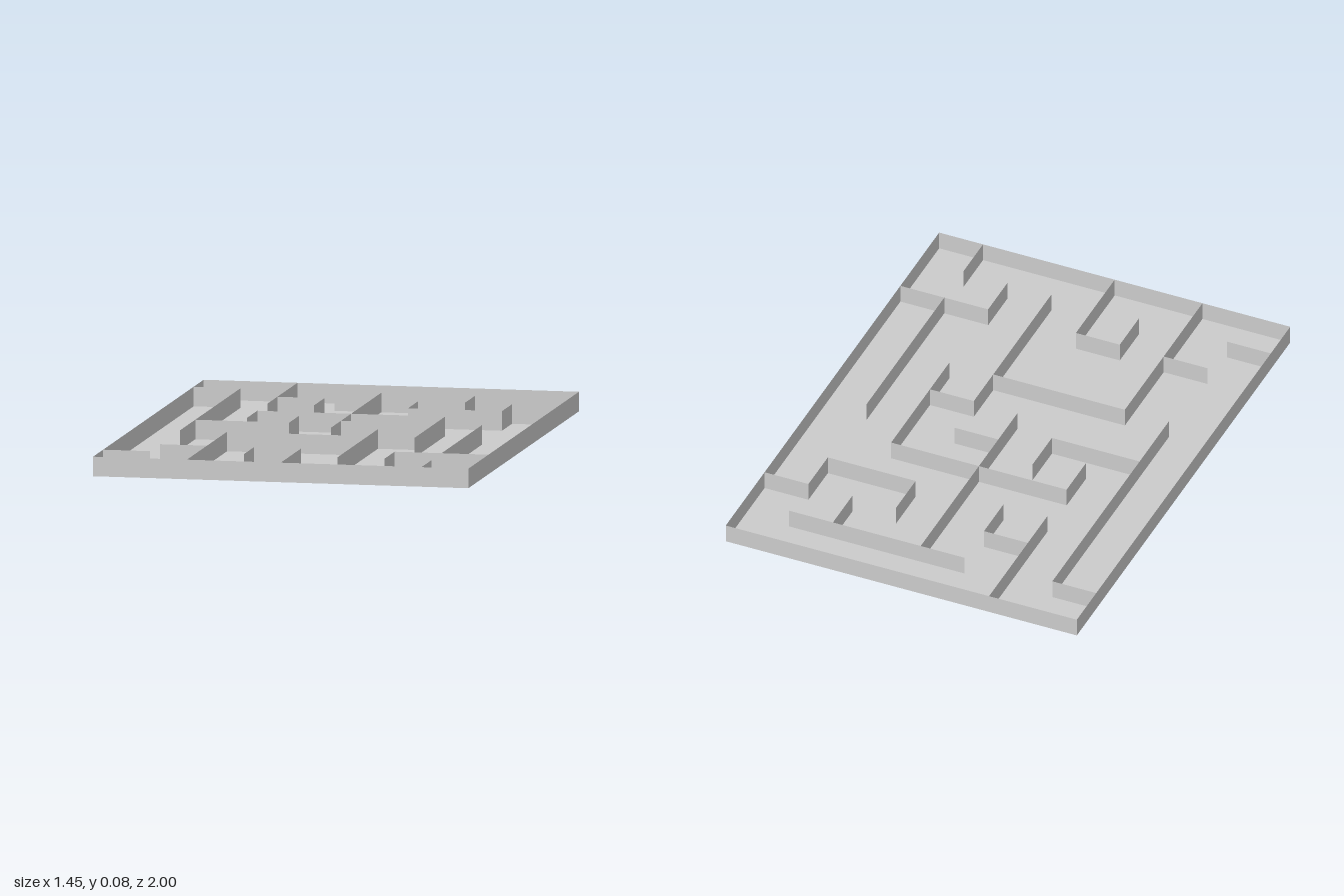
import * as THREE from 'three';

const COLS = 8, ROWS = 11, CELL = 2 / ROWS, HEIGHT = 0.075;

// Wall runs as grid corners: column from the -x edge, row from the front edge
const RUNS = [
  [[0, 1], [1, 1]],
  [[1, 2], [2, 2]],
  [[2, 0], [2, 4], [5, 4]],
  [[3, 1], [3, 2], [4, 2], [4, 0]],
  [[5, 1], [5, 5], [6, 5]],
  [[6, 4], [6, 7], [2, 7], [2, 6]],
  [[4, 5], [4, 10]],
  [[4, 6], [5, 6]],
  [[1, 4], [1, 10], [0, 10]],
  [[1, 5.5], [3, 5.5], [3, 6.5]],
  [[2, 8], [2, 11]],
  [[2, 9], [3, 9], [3, 8]],
  [[3, 10], [7, 10]],
  [[6, 9], [6, 10]],
  [[5, 9], [5, 8], [7, 8], [7, 9], [8, 9]],
  [[6, 1], [6, 2], [8, 2]],
  [[7, 2], [7, 6]],
  [[7, 0], [7, 1]],
];
const BORDER = [[0, 0], [COLS, 0], [COLS, ROWS], [0, ROWS], [0, 0]];

const material = new THREE.MeshStandardMaterial({
  color: 0xcccccc, flatShading: true, side: THREE.DoubleSide,
});

// Thin upright sheets along consecutive grid corners
function wallRun(points, name) {
  const group = new THREE.Group();
  group.name = name;
  for (let k = 1; k < points.length; k++) {
    const [a, b] = points[k - 1], [c, d] = points[k];
    const dx = (c - a) * CELL, dz = (b - d) * CELL;
    const wall = new THREE.Mesh(new THREE.PlaneGeometry(Math.hypot(dx, dz), HEIGHT), material);
    wall.name = name + 'Panel';
    wall.position.set(((a + c) / 2 - COLS / 2) * CELL, HEIGHT / 2, (ROWS / 2 - (b + d) / 2) * CELL);
    wall.rotation.y = Math.atan2(-dz, dx);
    group.add(wall);
  }
  return group;
}

export function createModel() {
  const model = new THREE.Group();
  model.name = 'maze';

  // Floor sheet
  const floor = new THREE.Mesh(new THREE.PlaneGeometry(COLS * CELL, ROWS * CELL), material);
  floor.name = 'floor';
  floor.rotation.x = -Math.PI / 2;
  model.add(floor);

  // Outer border and inner maze walls
  model.add(wallRun(BORDER, 'outerWall'));
  for (const run of RUNS) model.add(wallRun(run, 'innerWall'));
  return model;
}
